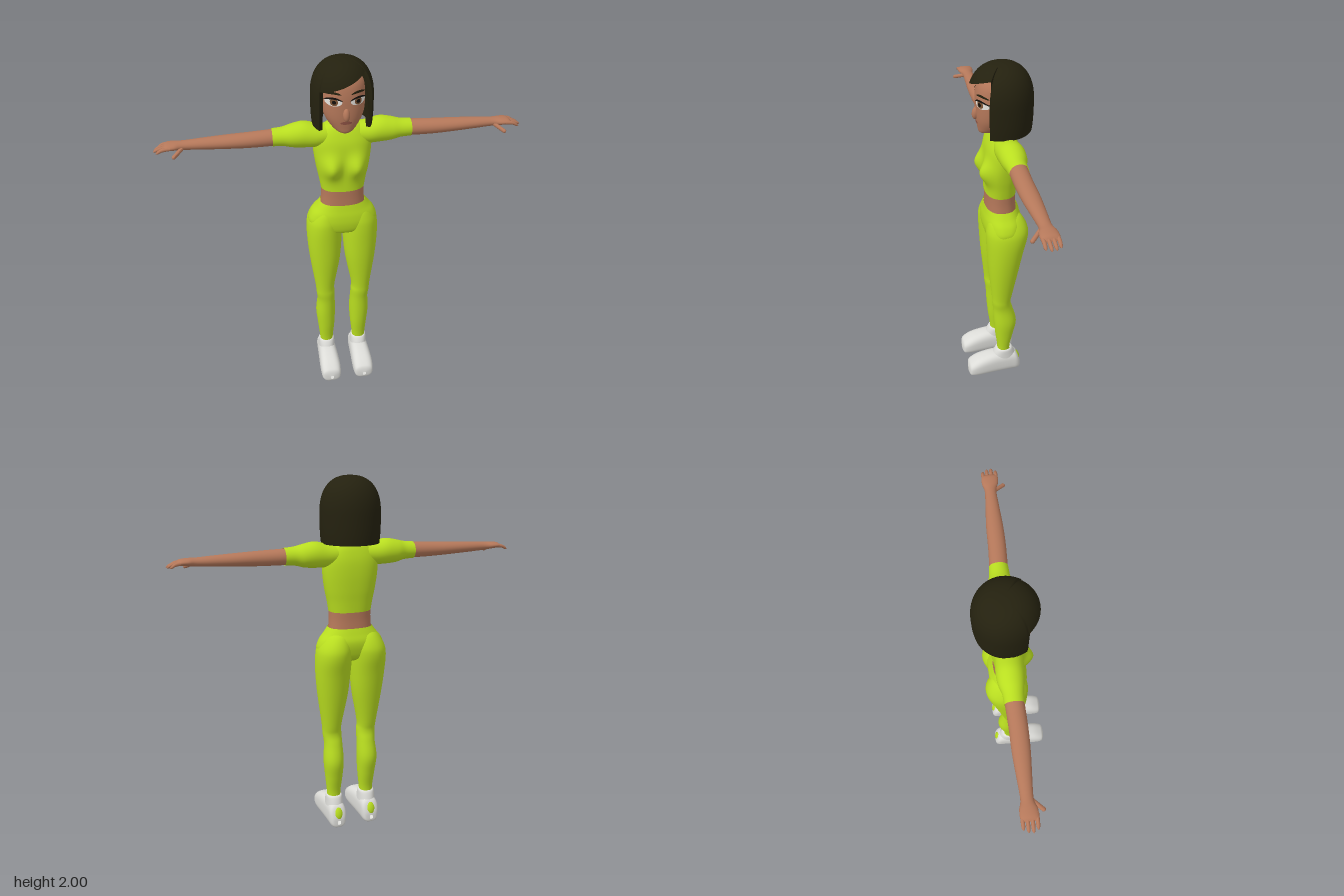
import * as THREE from 'three';

const mat = (name, color, side = THREE.FrontSide) => {
  const m = new THREE.MeshStandardMaterial({ color, side });
  m.name = name;
  return m;
};

// Closed smooth surface from rings of points
function grid(rows, flip) {
  const n = rows[0].length, idx = [];
  for (let j = 0; j < rows.length - 1; j++) for (let i = 0; i < n; i++) {
    const a = j * n + i, b = j * n + (i + 1) % n, c = a + n, d = b + n;
    if (flip) idx.push(a, d, b, a, c, d);
    else idx.push(a, b, d, a, d, c);
  }
  const g = new THREE.BufferGeometry();
  g.setAttribute('position', new THREE.Float32BufferAttribute(rows.flat(2), 3));
  g.setIndex(idx);
  g.computeVertexNormals();
  return g;
}

// Smoothly subdivide a list of cross-sections
function refine(secs, sub = 5) {
  const out = [], at = i => secs[Math.max(0, Math.min(secs.length - 1, i))];
  for (let i = 0; i < secs.length - 1; i++) for (let k = 0; k < sub; k++) {
    const t = k / sub;
    out.push(at(i).map((p1, c) => {
      const p0 = at(i - 1)[c], p2 = at(i + 1)[c], p3 = at(i + 2)[c];
      return p1 + 0.5 * t * (p2 - p0 + t * (2 * p0 - 5 * p1 + 4 * p2 - p3 + t * (3 * (p1 - p2) + p3 - p0)));
    }));
  }
  out.push(secs[secs.length - 1]);
  return out;
}

// Section: [along axis, centre, half width, high, low]
function loft(axis, secs, { n = 2, seg = 40, bump } = {}) {
  const pw = v => Math.sign(v) * Math.abs(v) ** (2 / n);
  const rows = refine(secs).map(([t, c, r, hi, lo]) => Array.from({ length: seg }, (_, i) => {
    const a = i / seg * Math.PI * 2;
    const u = c + r * pw(Math.sin(a));
    let v = (hi + lo) / 2 + (hi - lo) / 2 * pw(Math.cos(a));
    if (bump) v += bump(u, t, Math.cos(a));
    return axis === 'y' ? [u, t, v] : axis === 'x' ? [t, u, v] : [u, v, t];
  }));
  return grid(rows, axis !== 'y');
}

function mirror(geo) {
  const g = geo.clone().scale(-1, 1, 1), ix = g.index.array;
  for (let i = 0; i < ix.length; i += 3) [ix[i], ix[i + 1]] = [ix[i + 1], ix[i]];
  g.computeVertexNormals();
  return g;
}

const HEAD = [
  [1.635, 0, 0.012, 0.075, 0.04], [1.645, 0, 0.04, 0.088, 0], [1.67, 0, 0.07, 0.093, -0.06],
  [1.72, 0, 0.1, 0.1, -0.1], [1.78, 0, 0.115, 0.102, -0.13], [1.85, 0, 0.118, 0.1, -0.14],
  [1.91, 0, 0.11, 0.085, -0.13], [1.96, 0, 0.07, 0.04, -0.1], [1.975, 0, 0.01, -0.02, -0.05]];
const HEAD_ROWS = refine(HEAD), HEAD_N = 2.2;

function faceZ(x, y) {
  const i = Math.max(1, HEAD_ROWS.findIndex(r => r[0] >= y));
  const a = HEAD_ROWS[i - 1], b = HEAD_ROWS[i], k = (y - a[0]) / (b[0] - a[0]);
  const [, , r, hi, lo] = a.map((v, c) => v + (b[c] - v) * k);
  const s = Math.max(0, 1 - Math.abs(x / r) ** HEAD_N) ** (1 / HEAD_N);
  return (hi + lo) / 2 + (hi - lo) / 2 * s;
}

// Oval patch that hugs the face; bend lowers its two ends
function facePatch(cx, cy, rx, ry, lift, bend = 0) {
  const g = new THREE.RingGeometry(0.001, 1, 28, 5), p = g.attributes.position;
  for (let i = 0; i < p.count; i++) {
    const u = p.getX(i), x = cx + u * rx, y = cy + p.getY(i) * ry - bend * u * u;
    p.setXYZ(i, x, y, faceZ(x, y) + lift);
  }
  g.computeVertexNormals();
  return g;
}

// Bob with a swept fringe: outer dome, hem, then inner lining
function hairGeometry() {
  const seg = 120, N = 22, rows = [];
  const radius = y => y > 1.8 ? Math.max(0, 1 - ((y - 1.8) / 0.2) ** 2.4) ** (1 / 2.4) : 1 - 0.04 * ((1.8 - y) / 0.15) ** 3;
  const ring = (f, scale) => Array.from({ length: seg }, (_, i) => {
    const a = i / seg * Math.PI * 2, s = Math.sin(a), c = Math.cos(a);
    const hem = c > Math.cos(0.95) ? 1.905 + 0.33 * 0.16 * s : 1.65;
    const y = 2 - (2 - hem) * f * f, r = radius(y) * scale;
    return [0.162 * s * r, y - (1 - scale) * 0.12 * (1 - f), -0.035 + (c > 0 ? 0.175 : 0.16) * c * r];
  });
  for (let j = 0; j <= N; j++) rows.push(ring(j / N, 1));
  rows.push(ring(1, 1), ring(1, 0.86));
  for (let j = N; j >= 0; j--) rows.push(ring(j / N, 0.86));
  return grid(rows, true);
}

export function createModel() {
  const model = new THREE.Group();
  const lime = mat('lime fabric', 0xb9de20, THREE.DoubleSide);
  const skin = mat('skin', 0xb5785a, THREE.DoubleSide);
  const hair = mat('dark hair', 0x24210f, THREE.DoubleSide);
  const shoe = mat('shoe white', 0xdcdcd8, THREE.DoubleSide);
  const white = mat('eye white', 0xe8e4de);
  const iris = mat('iris brown', 0x7a5233);
  const black = mat('lash black', 0x14100c);
  const lip = mat('lip', 0x935546);

  const add = (name, geo, m) => {
    const mesh = new THREE.Mesh(geo, m);
    mesh.name = name;
    model.add(mesh);
  };
  const pair = (name, geo, m) => {
    add('left' + name, geo, m);
    add('right' + name, mirror(geo), m);
  };

  // Torso
  const bust = (x, y, front) => front <= 0 ? 0 :
    0.046 * Math.min(1, front * 3) * Math.exp(-(((Math.abs(x) - 0.07) / 0.05) ** 2) - ((y - 1.425) / 0.062) ** 2);
  add('top', loft('y', [
    [1.28, 0, 0.118, 0.06, -0.106], [1.34, 0, 0.128, 0.06, -0.11], [1.4, 0, 0.14, 0.06, -0.115],
    [1.48, 0, 0.152, 0.06, -0.118], [1.55, 0, 0.155, 0.055, -0.115], [1.6, 0, 0.14, 0.04, -0.105],
    [1.64, 0, 0.1, 0.02, -0.09], [1.66, 0, 0.045, 0, -0.07]], { n: 2.3, seg: 72, bump: bust }), lime);
  add('midriff', loft('y', [
    [1.18, 0, 0.121, 0.058, -0.108], [1.235, 0, 0.117, 0.057, -0.104], [1.29, 0, 0.117, 0.058, -0.104]], { n: 2.3 }), skin);
  add('hips', loft('y', [
    [0.995, 0, 0.06, 0.03, -0.06], [1.02, 0, 0.155, 0.062, -0.11], [1.07, 0, 0.191, 0.074, -0.13],
    [1.12, 0, 0.178, 0.073, -0.135], [1.16, 0, 0.147, 0.066, -0.122], [1.192, 0, 0.124, 0.06, -0.11]], { n: 2.4, seg: 56 }), lime);
  add('neck', loft('y', [
    [1.6, 0, 0.055, 0.025, -0.08], [1.66, 0, 0.046, 0.025, -0.07], [1.72, 0, 0.045, 0.03, -0.07]]), skin);

  // Legs
  pair('Leg', loft('y', [
    [0.12, 0.1, 0.036, 0.01, -0.07], [0.2, 0.1, 0.04, 0.01, -0.065], [0.3, 0.1, 0.05, 0.022, -0.085],
    [0.4, 0.102, 0.057, 0.03, -0.102], [0.5, 0.1, 0.052, 0.035, -0.08], [0.56, 0.103, 0.054, 0.042, -0.065],
    [0.62, 0.106, 0.056, 0.045, -0.075], [0.8, 0.102, 0.085, 0.062, -0.11], [0.93, 0.102, 0.097, 0.07, -0.135],
    [1.03, 0.101, 0.099, 0.074, -0.158], [1.09, 0.095, 0.092, 0.07, -0.155], [1.15, 0.083, 0.065, 0.05, -0.122],
    [1.18, 0.08, 0.02, 0, -0.07]], { n: 2.1 }), lime);

  // Shoes
  pair('Shoe', loft('z', [
    [-0.13, 0.1, 0.01, 0.05, 0.025], [-0.125, 0.1, 0.036, 0.08, 0.008], [-0.105, 0.1, 0.05, 0.13, 0],
    [-0.07, 0.1, 0.053, 0.147, 0], [0, 0.1, 0.056, 0.15, 0], [0.06, 0.1, 0.059, 0.145, 0],
    [0.13, 0.1, 0.061, 0.126, 0], [0.175, 0.1, 0.056, 0.1, 0.004], [0.19, 0.1, 0.043, 0.083, 0.012],
    [0.197, 0.1, 0.01, 0.055, 0.03]], { n: 2.8 }), shoe);
  pair('ShoeCollar', loft('y', [
    [0.09, 0.1, 0.052, 0.05, -0.112], [0.14, 0.1, 0.049, 0.038, -0.097], [0.175, 0.1, 0.046, 0.02, -0.082],
    [0.183, 0.1, 0.038, 0.01, -0.07]], { n: 2.2 }), shoe);
  const heel = new THREE.SphereGeometry(1, 20, 14).scale(0.028, 0.04, 0.019).rotateX(0.3).translate(0.1, 0.09, -0.109);
  pair('HeelPatch', heel, lime);

  // Arms and hands
  pair('Sleeve', loft('x', [
    [0.04, 1.59, 0.05, 0.02, -0.09], [0.13, 1.588, 0.062, 0.035, -0.1], [0.2, 1.595, 0.069, 0.035, -0.105],
    [0.26, 1.593, 0.062, 0.03, -0.1], [0.31, 1.593, 0.05, 0.022, -0.085], [0.366, 1.592, 0.046, 0.018, -0.08]]), lime);
  pair('Arm', loft('x', [
    [0.35, 1.592, 0.043, 0.016, -0.078], [0.48, 1.59, 0.04, 0.02, -0.072], [0.6, 1.59, 0.035, 0.018, -0.07],
    [0.72, 1.59, 0.029, 0.01, -0.062], [0.815, 1.59, 0.023, 0.005, -0.056], [0.86, 1.592, 0.02, 0.018, -0.066],
    [0.9, 1.592, 0.015, 0.02, -0.066], [0.918, 1.588, 0.004, 0.01, -0.056]]), skin);
  [0.953, 0.965, 0.968, 0.955].forEach((tip, i) => {
    const z = -0.056 + i * 0.0225;
    pair('Finger' + (i + 1), loft('x', [
      [0.88, 1.592, 0.01, z + 0.01, z - 0.01], [0.92, 1.587, 0.0095, z + 0.0095, z - 0.0095],
      [tip - 0.012, 1.576, 0.008, z + 0.008, z - 0.008], [tip, 1.57, 0.001, z + 0.001, z - 0.001]], { seg: 12 }), skin);
  });
  const from = new THREE.Vector3(0.825, 1.582, 0), to = new THREE.Vector3(0.865, 1.56, 0.045);
  const dir = to.clone().sub(from), mid = from.clone().add(to).multiplyScalar(0.5);
  const thumb = new THREE.CapsuleGeometry(0.0105, dir.length(), 6, 12).applyQuaternion(
    new THREE.Quaternion().setFromUnitVectors(new THREE.Vector3(0, 1, 0), dir.normalize())).translate(mid.x, mid.y, mid.z);
  pair('Thumb', thumb, skin);

  // Head and face
  add('head', loft('y', HEAD, { n: HEAD_N, seg: 56 }), skin);
  add('nose', new THREE.SphereGeometry(1, 20, 14).scale(0.018, 0.036, 0.02).rotateX(-0.2).translate(0, 1.748, 0.1), skin);
  add('lips', facePatch(0, 1.704, 0.03, 0.009, 0.003, 0.002), lip);
  pair('EyeWhite', facePatch(0.062, 1.815, 0.041, 0.021, 0.002), white);
  pair('Iris', facePatch(0.061, 1.816, 0.019, 0.019, 0.004), iris);
  pair('Pupil', facePatch(0.061, 1.816, 0.01, 0.01, 0.006), black);
  pair('UpperLash', facePatch(0.063, 1.836, 0.045, 0.005, 0.005, 0.015), black);
  pair('Eyebrow', facePatch(0.063, 1.862, 0.038, 0.006, 0.003, 0.008), hair);
  add('hair', hairGeometry(), hair);

  return model;
}
